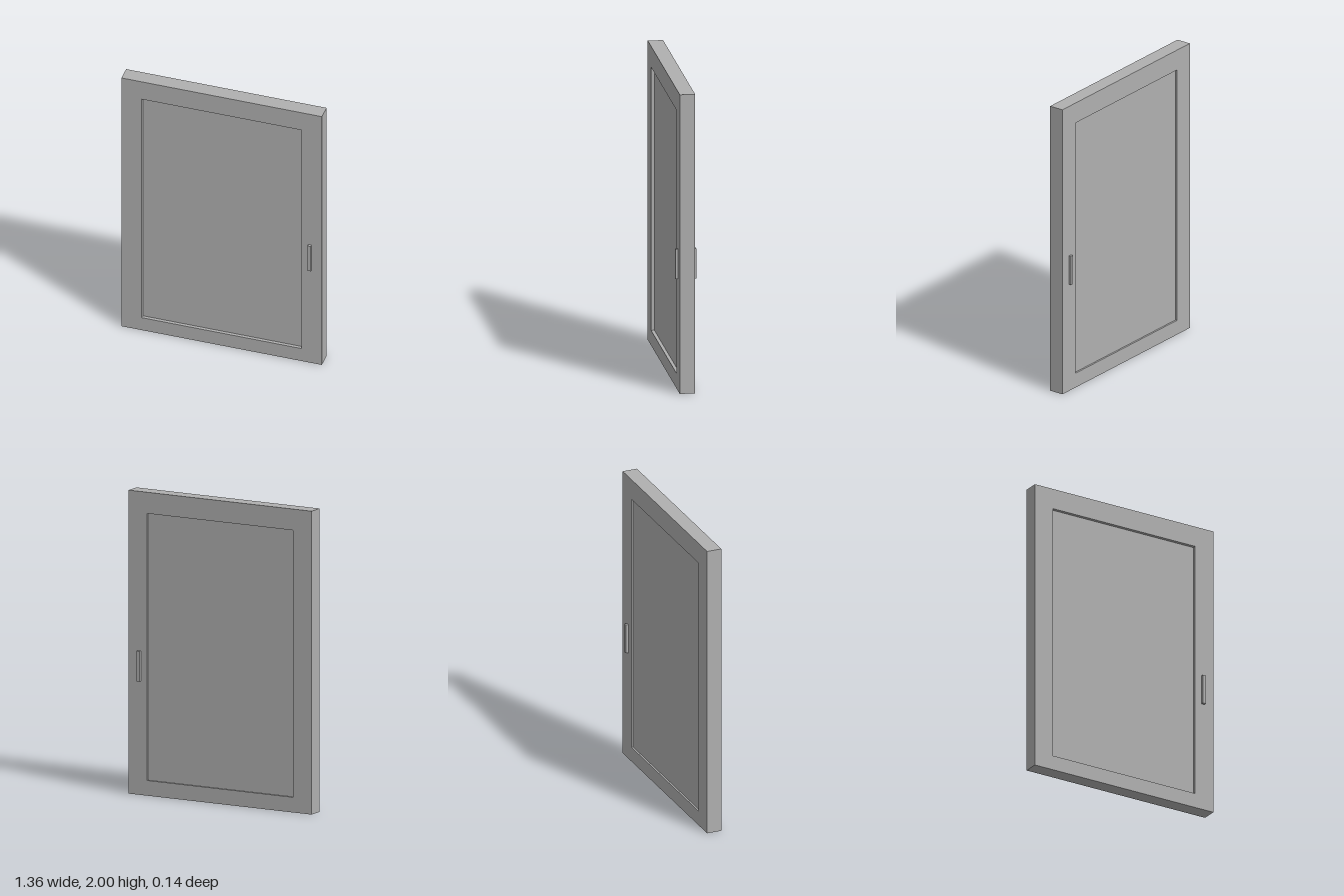
import * as THREE from 'three';

export function createModel() {
  const model = new THREE.Group();
  model.name = 'door';

  const grey = new THREE.MeshStandardMaterial({ color: 0xb0b0b0 });
  grey.name = 'grey';

  const addPart = (name, geometry, x, y, z) => {
    const mesh = new THREE.Mesh(geometry, grey);
    mesh.name = name;
    mesh.position.set(x, y, z);
    model.add(mesh);
  };

  const width = 1.36, height = 2, depth = 0.1;
  const open = { x: 0.542, bottom: 0.1, top: 1.86 };

  // Outer frame with a rectangular opening
  const outline = new THREE.Shape([
    new THREE.Vector2(-width / 2, 0),
    new THREE.Vector2(width / 2, 0),
    new THREE.Vector2(width / 2, height),
    new THREE.Vector2(-width / 2, height),
  ]);
  outline.holes.push(new THREE.Path([
    new THREE.Vector2(-open.x, open.bottom),
    new THREE.Vector2(-open.x, open.top),
    new THREE.Vector2(open.x, open.top),
    new THREE.Vector2(open.x, open.bottom),
  ]));
  addPart('frame', new THREE.ExtrudeGeometry(outline, { depth, bevelEnabled: false }), 0, 0, -depth / 2);

  // Recessed panel, set deeper on the front than on the back
  const front = 0.028, back = -0.038;
  addPart(
    'panel',
    new THREE.BoxGeometry(open.x * 2, open.top - open.bottom, front - back),
    0, (open.top + open.bottom) / 2, (front + back) / 2,
  );

  // A slim bar handle on each face
  const handleDepth = 0.018;
  for (const side of [1, -1]) {
    addPart(
      side > 0 ? 'frontHandle' : 'backHandle',
      new THREE.BoxGeometry(0.022, 0.2, handleDepth),
      0.6, 0.85, side * (depth + handleDepth) / 2,
    );
  }

  return model;
}
